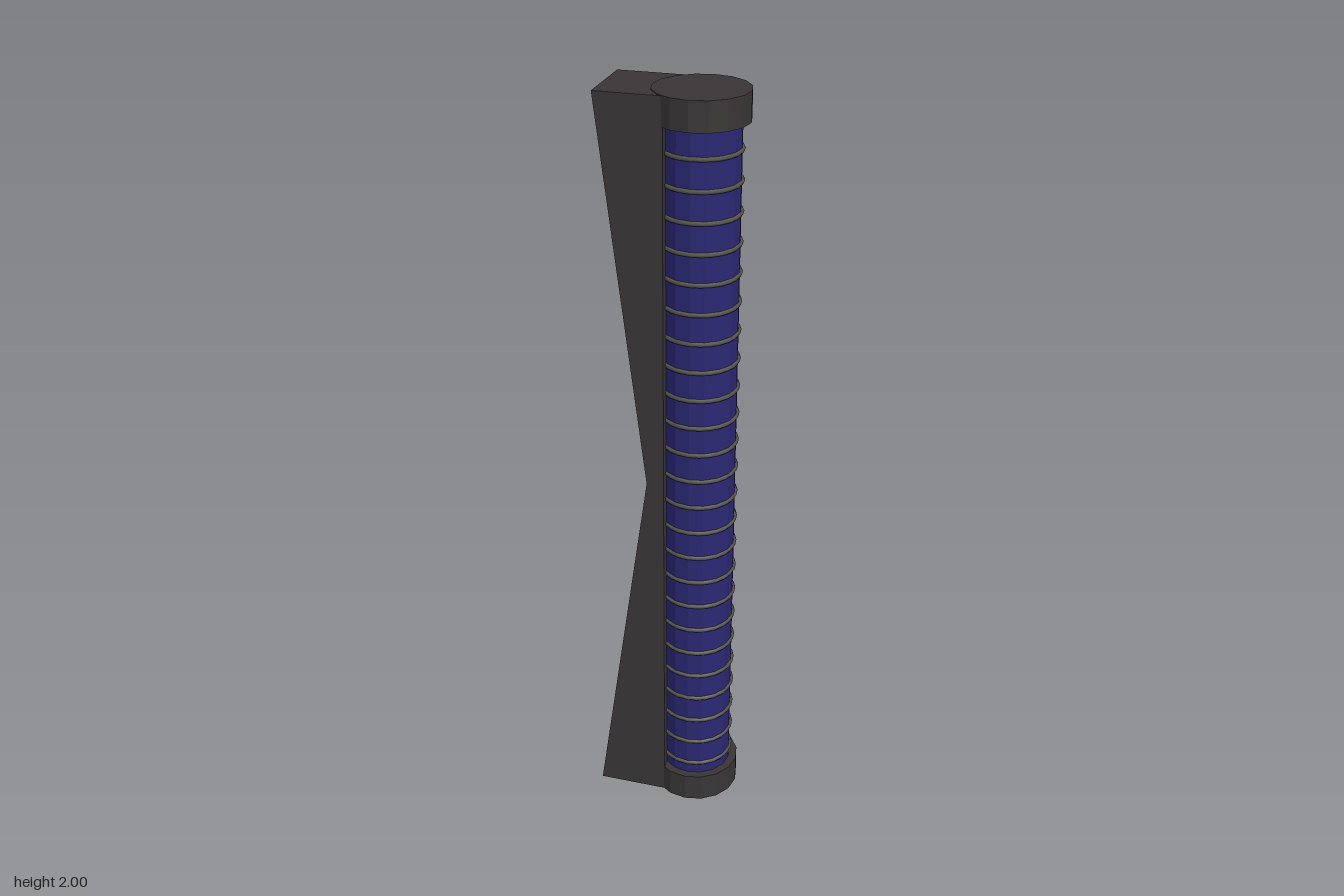
import * as THREE from 'three';

const AXIS_X = 0.067; // centre line of the column

export function createModel() {
  const group = new THREE.Group();
  const mat = (color, flatShading = true) => new THREE.MeshStandardMaterial({ color, flatShading });
  const dark = mat(0x3a3637);
  const blue = mat(0x2b2874);
  const wire = mat(0x55544c, false);

  const add = (name, geometry, material, x, y, z = 0) => {
    const mesh = new THREE.Mesh(geometry, material);
    mesh.name = name;
    mesh.position.set(x, y, z);
    group.add(mesh);
    return mesh;
  };

  // Backing plate, waisted at mid height
  const outline = new THREE.Shape([
    [-0.187, 0], [0, 0], [0, 1.998], [-0.167, 1.998], [-0.045, 1],
  ].map(([x, y]) => new THREE.Vector2(x, y)));
  add('backPlate', new THREE.ExtrudeGeometry(outline, { depth: 0.193, bevelEnabled: false }), dark, 0, 0, -0.1);

  // Column and its end caps
  add('column', new THREE.CylinderGeometry(0.096, 0.096, 1.9, 16), blue, AXIS_X, 1);
  add('topCap', new THREE.CylinderGeometry(0.117, 0.117, 0.073, 16), dark, AXIS_X, 1.9635, 0.002);
  add('bottomCap', new THREE.CylinderGeometry(0.118, 0.118, 0.079, 16), dark, AXIS_X, 0.0405);

  // Evenly spaced rings around the column
  const ring = new THREE.TorusGeometry(0.096, 0.006, 6, 24);
  ring.rotateX(Math.PI / 2);
  for (let i = 0; i < 24; i++) add('ring', ring, wire, AXIS_X, 0.115 + i * 0.0759);

  return group;
}
